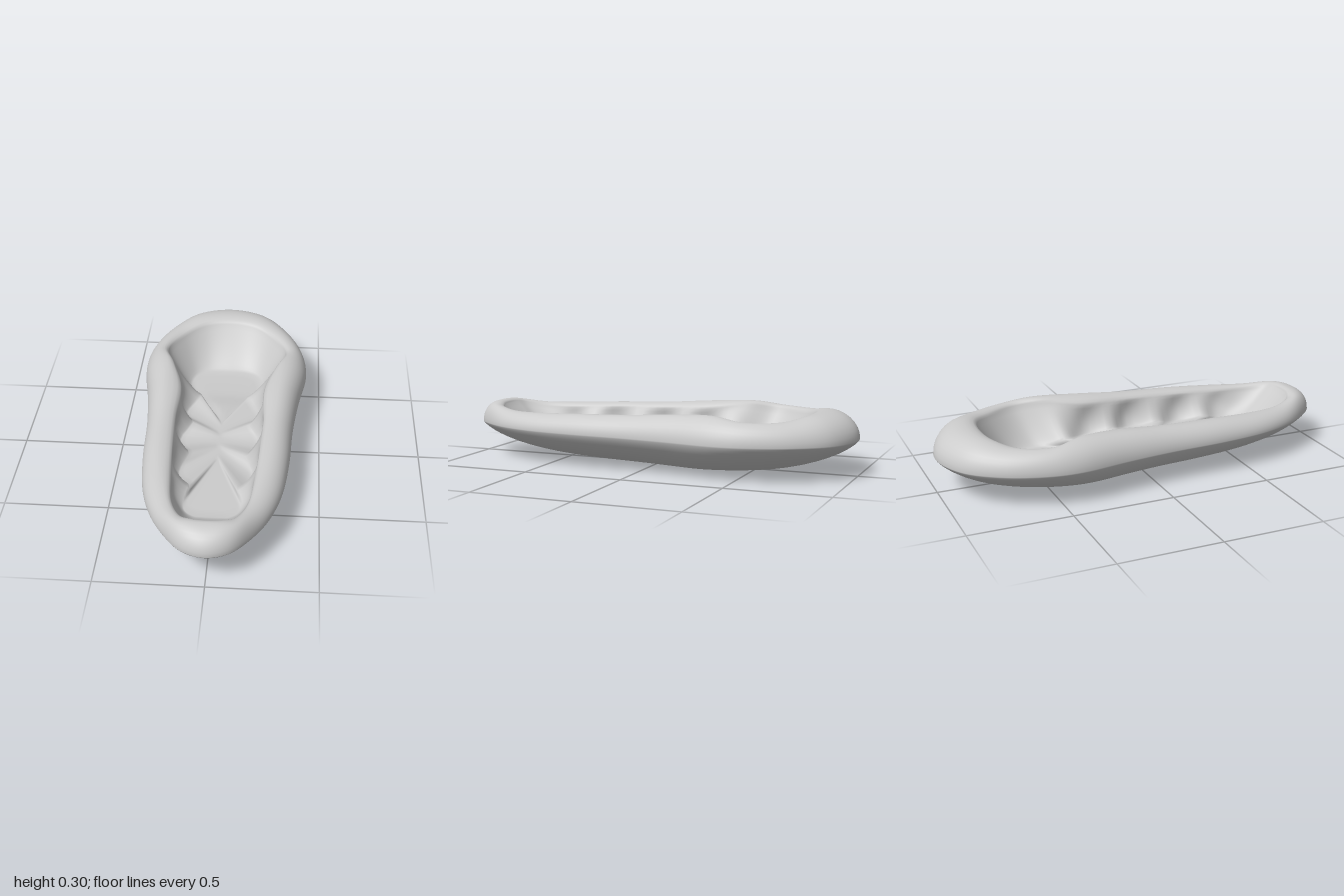
import * as THREE from 'three';
import { mergeVertices } from 'three/addons/utils/BufferGeometryUtils.js';

// Half outlines from back to front, matched row by row:
// widest line (x, z), rim crest (x, z, y), inner lip (x, z, y), foot of inner wall (x, z)
const rows = [
  [0, -1, 0, -0.84, 0.301, 0, -0.775, 0.275, 0, -0.6],
  [0.2, -0.935, 0.15, -0.81, 0.296, 0.14, -0.75, 0.268, 0.1, -0.595],
  [0.33, -0.785, 0.265, -0.71, 0.276, 0.245, -0.66, 0.25, 0.165, -0.55],
  [0.405, -0.6, 0.335, -0.54, 0.276, 0.31, -0.52, 0.25, 0.185, -0.45],
  [0.424, -0.42, 0.305, -0.38, 0.295, 0.265, -0.36, 0.27, 0.15, -0.33],
  [0.387, -0.17, 0.285, -0.17, 0.287, 0.21, -0.17, 0.25, 0.165, -0.17],
  [0.362, 0.07, 0.27, 0.07, 0.27, 0.215, 0.07, 0.24, 0.175, 0.07],
  [0.35, 0.33, 0.26, 0.33, 0.26, 0.205, 0.33, 0.235, 0.16, 0.33],
  [0.32, 0.57, 0.23, 0.56, 0.25, 0.19, 0.54, 0.225, 0.125, 0.53],
  [0.262, 0.75, 0.19, 0.73, 0.248, 0.17, 0.7, 0.225, 0.115, 0.61],
  [0.18, 0.885, 0.14, 0.85, 0.264, 0.125, 0.81, 0.238, 0.08, 0.645],
  [0.1, 0.967, 0.075, 0.885, 0.275, 0.07, 0.85, 0.255, 0.04, 0.65],
  [0, 0.998, 0, 0.89, 0.277, 0, 0.86, 0.257, 0, 0.65],
];
const HALF = 84;
const MID_Y = 0.172;
const { lerp, smoothstep } = THREE.MathUtils;

// Mirror the rows into a closed smooth loop of matched points
function closedLoop(pick) {
  const right = rows.map(pick);
  const left = right.slice(1, -1).reverse().map(([x, y, z]) => [-x, y, z]);
  const pts = [...right, ...left].map((p) => new THREE.Vector3(...p));
  const curve = new THREE.CatmullRomCurve3(pts, true, 'catmullrom', 0.5);
  return Array.from({ length: HALF * 2 }, (_, i) => curve.getPoint(i / (HALF * 2)));
}

// Scalloped pockets along the inner walls: sum of soft bumps at given z
const bumps = (z, centres, width) =>
  centres.reduce((sum, c) => sum + Math.exp(-(((z - c) / width) ** 2)), 0);
const POCKETS = [-0.16, 0.07, 0.35, 0.57];
const RIDGES = [-0.3, -0.045, 0.21, 0.465];

// The floor sits lower in the wide back bowl
const floorY = (z) => lerp(0.075, 0.1, smoothstep(z, -0.4, -0.25));

function shellGeometry() {
  const widest = closedLoop((r) => [r[0], MID_Y, r[1]]);
  const crest = closedLoop((r) => [r[2], r[4], r[3]]);
  const lip = closedLoop((r) => [r[5], r[7], r[6]]);
  const foot = closedLoop((r) => [r[8], floorY(r[9]), r[9]]);
  const rings = [];

  // Underside, curving from the keel line out to the widest line
  for (let j = 0; j <= 16; j++) {
    const s = Math.sin((j / 16) * Math.PI / 2);
    rings.push(widest.map((p) => {
      const z = p.z * (0.25 + 0.75 * s);
      const base = 0.02 * smoothstep(z, -0.4, 0.6);
      return [p.x * s, lerp(base, MID_Y, 1 - (1 - s ** 2.6) ** 0.74), z];
    }));
  }

  // Rounded outer flank, up to the rim crest
  for (let j = 1; j <= 8; j++) {
    const a = (j / 8) * Math.PI / 2;
    rings.push(widest.map((p, i) => {
      const c = crest[i];
      return [lerp(c.x, p.x, Math.cos(a)), lerp(p.y, c.y, Math.sin(a)), lerp(c.z, p.z, Math.cos(a))];
    }));
  }

  // Rim rolling over to the inner lip
  for (let j = 1; j <= 4; j++) {
    const a = (j / 4) * Math.PI / 2;
    rings.push(crest.map((p, i) => {
      const l = lip[i];
      return [lerp(p.x, l.x, Math.sin(a)), lerp(l.y, p.y, Math.cos(a)), lerp(p.z, l.z, Math.sin(a))];
    }));
  }

  // Pockets widen the foot of the wall, ridges narrow and lift it
  for (const f of foot) {
    const ridge = bumps(f.z, RIDGES, 0.055);
    f.x *= 1 + 0.1 * bumps(f.z, POCKETS, 0.07) - 0.2 * ridge;
    f.y += 0.03 * ridge;
  }

  // Inner wall, sloping at both ends and undercut at the pockets
  for (let j = 1; j <= 10; j++) {
    const t = j / 10;
    rings.push(lip.map((l, i) => {
      const f = foot[i];
      const z = lerp(l.z, f.z, t);
      const undercut = 1 + 0.1 * Math.sin(Math.PI * t) * bumps(z, POCKETS, 0.06);
      return [lerp(l.x, f.x, t) * undercut, lerp(l.y, f.y, 1 - (1 - t) ** 1.3), z];
    }));
  }

  // Floor fanning in to the middle, ridges fading inward
  for (let j = 1; j <= 8; j++) {
    const s = 1 - j / 8;
    rings.push(foot.map((f) => {
      const z = lerp(0.05, f.z, 0.35 + 0.65 * s);
      return [f.x * s, lerp(floorY(z), f.y, s), z];
    }));
  }

  // Stitch neighbouring rings together
  const n = HALF * 2;
  const index = [];
  for (let j = 0; j < rings.length - 1; j++) {
    for (let i = 0; i < n; i++) {
      const a = j * n + i;
      const b = j * n + ((i + 1) % n);
      index.push(a, a + n, b, b, a + n, b + n);
    }
  }
  const geometry = new THREE.BufferGeometry();
  geometry.setAttribute('position', new THREE.Float32BufferAttribute(rings.flat(2), 3));
  geometry.setIndex(index);
  const merged = mergeVertices(geometry, 1e-4);
  merged.computeVertexNormals();
  return merged;
}

export function createModel() {
  const group = new THREE.Group();
  group.name = 'hollowPod';
  const shell = new THREE.Mesh(shellGeometry(), new THREE.MeshStandardMaterial({ color: 0xcccccc }));
  shell.name = 'shell';
  group.add(shell);
  return group;
}
